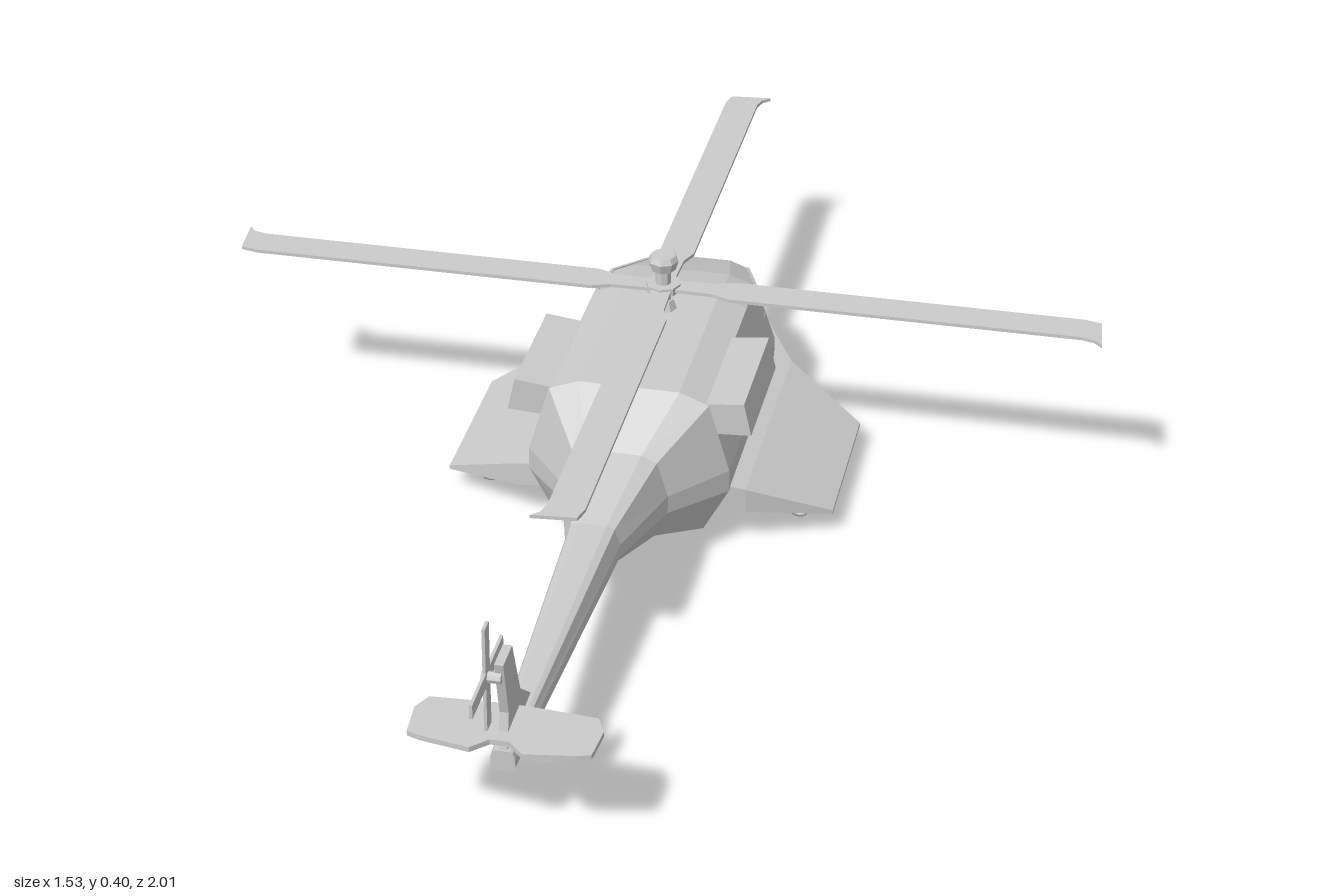
import * as THREE from 'three';

const material = new THREE.MeshStandardMaterial({ color: 0xcccccc, flatShading: true });
const smooth = new THREE.MeshStandardMaterial({ color: 0xcccccc });

function add(parent, name, geometry, x = 0, y = 0, z = 0, mat = material) {
  const mesh = new THREE.Mesh(geometry, mat);
  mesh.name = name;
  mesh.position.set(x, y, z);
  parent.add(mesh);
  return mesh;
}

// Skin a list of equal-length rings, counter-clockwise about the direction of travel, with end caps
function loft(rings) {
  const n = rings[0].length, index = [];
  for (let i = 0; i < rings.length - 1; i++) {
    for (let j = 0; j < n; j++) {
      const k = (j + 1) % n, a = i * n, b = a + n;
      index.push(a + j, a + k, b + k, a + j, b + k, b + j);
    }
  }
  const last = (rings.length - 1) * n;
  for (let j = 1; j < n - 1; j++) {
    index.push(0, j + 1, j, last, last + j, last + j + 1);
  }
  const g = new THREE.BufferGeometry();
  g.setAttribute('position', new THREE.Float32BufferAttribute(rings.flat(2), 3));
  g.setIndex(index);
  const flat = g.toNonIndexed();
  flat.computeVertexNormals();
  return flat;
}

function extrude(points, depth, hole) {
  const shape = new THREE.Shape(points.map(p => new THREE.Vector2(...p)));
  if (hole) shape.holes.push(new THREE.Path(hole.map(p => new THREE.Vector2(...p))));
  return new THREE.ExtrudeGeometry(shape, { depth, bevelEnabled: false });
}

// Thin strip between two points
function strip(parent, name, from, to, size) {
  const a = new THREE.Vector3(...from), b = new THREE.Vector3(...to);
  const mesh = add(parent, name, new THREE.BoxGeometry(size, size, a.distanceTo(b)));
  mesh.position.copy(a).lerp(b, 0.5);
  mesh.lookAt(b);
}

// Hull ring: half width, bottom, lower side, upper side and top heights
function hullRing([z, w, bottom, lo, hi, top]) {
  const h = top - bottom;
  const half = [[0.75 * w, bottom + 0.06 * h], [w, lo], [w, hi], [0.79 * w, top - 0.07 * h], [0.5 * w, top]];
  return [
    [0, bottom, z],
    ...half.map(([x, y]) => [x, y, z]),
    ...half.slice().reverse().map(([x, y]) => [-x, y, z]),
  ];
}

export function createModel() {
  const model = new THREE.Group();
  model.name = 'helicopter';

  // Fuselage and tail boom, nose to tail
  add(model, 'fuselage', loft([
    [-0.655, 0.045, 0.10, 0.125, 0.14, 0.16],
    [-0.565, 0.115, 0.052, 0.115, 0.155, 0.228],
    [-0.42, 0.168, 0.024, 0.12, 0.16, 0.28],
    [-0.30, 0.174, 0.02, 0.12, 0.16, 0.303],
    [0.04, 0.174, 0.022, 0.12, 0.16, 0.303],
    [0.145, 0.09, 0.072, 0.13, 0.163, 0.237],
    [0.31, 0.046, 0.124, 0.145, 0.167, 0.20],
    [0.905, 0.019, 0.142, 0.152, 0.168, 0.18],
  ].map(hullRing)));

  for (const s of [1, -1]) {
    const side = new THREE.Group();
    side.name = s > 0 ? 'leftSide' : 'rightSide';
    model.add(side);

    // Drooping stub wing: x, front z, back z, lower y, upper y
    const rings = [
      [0.11, -0.57, 0.05, 0.10, 0.142],
      [0.20, -0.42, 0.025, 0.072, 0.116],
      [0.34, -0.34, -0.045, 0.043, 0.05],
    ].map(([x, f, b, lo, up]) => [[s * x, lo, f], [s * x, up, f], [s * x, up, b], [s * x, lo, b]]);
    add(side, 'stubWing', loft(s > 0 ? rings : rings.reverse()));

    // Engine pod with a hollow intake facing the nose
    const outer = [[0.13, 0.285], [0.145, 0.23], [0.21, 0.234], [0.197, 0.293]];
    const inner = [[0.15, 0.277], [0.16, 0.24], [0.20, 0.242], [0.19, 0.284]];
    const flip = pts => pts.map(([x, y]) => [s * x, y]);
    add(side, 'engineIntake', extrude(flip(outer), 0.06, flip(inner)), 0, 0, -0.19);
    add(side, 'enginePod', extrude(flip(outer), 0.17), 0, 0, -0.13);

    // Pair of stores under the wing
    for (const [x, y] of [[0.222, 0.041], [0.276, 0.029]]) {
      const profile = [[0, -0.085], [0.012, -0.085], [0.014, -0.107], [0.02, -0.107],
        [0.025, -0.09], [0.025, 0.075], [0.021, 0.095], [0.012, 0.106], [0, 0.109]];
      const store = new THREE.LatheGeometry(profile.map(p => new THREE.Vector2(...p)), 16);
      store.rotateX(-Math.PI / 2);
      add(side, 'store', store, s * x, y, -0.183, smooth);
      add(side, 'storeRail', new THREE.BoxGeometry(0.012, 0.02, 0.13), s * x, y + 0.028, -0.18);
    }

    // Canopy frame
    strip(side, 'canopyFrame', [s * 0.134, 0.284, -0.31], [s * 0.13, 0.263, -0.42], 0.006);
    strip(side, 'canopyFrame', [s * 0.13, 0.263, -0.42], [s * 0.091, 0.217, -0.56], 0.006);
    strip(side, 'windowSill', [s * 0.153, 0.215, -0.31], [s * 0.148, 0.21, -0.42], 0.006);
    strip(side, 'windowSill', [s * 0.148, 0.21, -0.42], [s * 0.104, 0.188, -0.55], 0.006);
  }

  // Mast and hub
  const rotor = new THREE.Group();
  rotor.name = 'mainRotor';
  rotor.position.set(0, 0.345, -0.24);
  model.add(rotor);
  add(rotor, 'mast', new THREE.CylinderGeometry(0.014, 0.014, 0.10, 8), 0, 0, 0);
  add(rotor, 'mastBase', new THREE.CylinderGeometry(0.018, 0.026, 0.02, 8), 0, -0.035, 0);
  add(rotor, 'hub', new THREE.CylinderGeometry(0.031, 0.031, 0.014, 8));
  add(rotor, 'hubCap', new THREE.CylinderGeometry(0.022, 0.027, 0.01, 8), 0, 0.056, 0);
  add(rotor, 'hubCapBase', new THREE.CylinderGeometry(0.027, 0.022, 0.017, 8), 0, 0.0425, 0);

  // Four blades with swept tips
  const blade = extrude([[0.02, -0.018], [0.09, -0.02], [0.12, -0.031], [0.73, -0.031], [0.758, -0.024],
    [0.765, 0.05], [0.752, 0.036], [0.73, 0.03], [0.12, 0.03], [0.09, 0.018], [0.02, 0.016]], 0.006);
  blade.rotateX(Math.PI / 2);
  for (let i = 0; i < 4; i++) {
    add(rotor, 'rotorBlade', blade, 0, 0.003, 0).rotation.y = i * Math.PI / 2;
  }

  // Tail fin and stabiliser
  const fin = extrude([[0.76, 0.185], [0.82, 0.235], [0.862, 0.342], [0.915, 0.342],
    [0.89, 0.24], [0.905, 0.17], [0.80, 0.17]], 0.014);
  fin.rotateY(-Math.PI / 2);
  add(model, 'tailFin', fin, 0.007, 0, 0);

  const stabiliser = extrude([[-0.145, 0.865], [-0.13, 0.835], [-0.02, 0.828], [0.02, 0.828], [0.13, 0.835],
    [0.145, 0.865], [0.14, 0.925], [0.12, 0.932], [0.04, 0.945], [0.015, 0.92], [-0.015, 0.92],
    [-0.04, 0.945], [-0.12, 0.932], [-0.14, 0.925]], 0.009);
  stabiliser.rotateX(Math.PI / 2);
  add(model, 'stabiliser', stabiliser, 0, 0.21, 0);

  // Tail rotor on the right of the fin
  const tailRotor = new THREE.Group();
  tailRotor.name = 'tailRotor';
  tailRotor.position.set(-0.02, 0.316, 0.91);
  model.add(tailRotor);
  const axle = new THREE.CylinderGeometry(0.009, 0.009, 0.03, 8);
  axle.rotateZ(Math.PI / 2);
  add(tailRotor, 'tailRotorAxle', axle, 0.008, 0, 0);
  for (let i = 0; i < 2; i++) {
    add(tailRotor, 'tailRotorBlade', new THREE.BoxGeometry(0.005, 0.18, 0.024)).rotation.x = i * Math.PI / 2;
  }
  return model;
}
